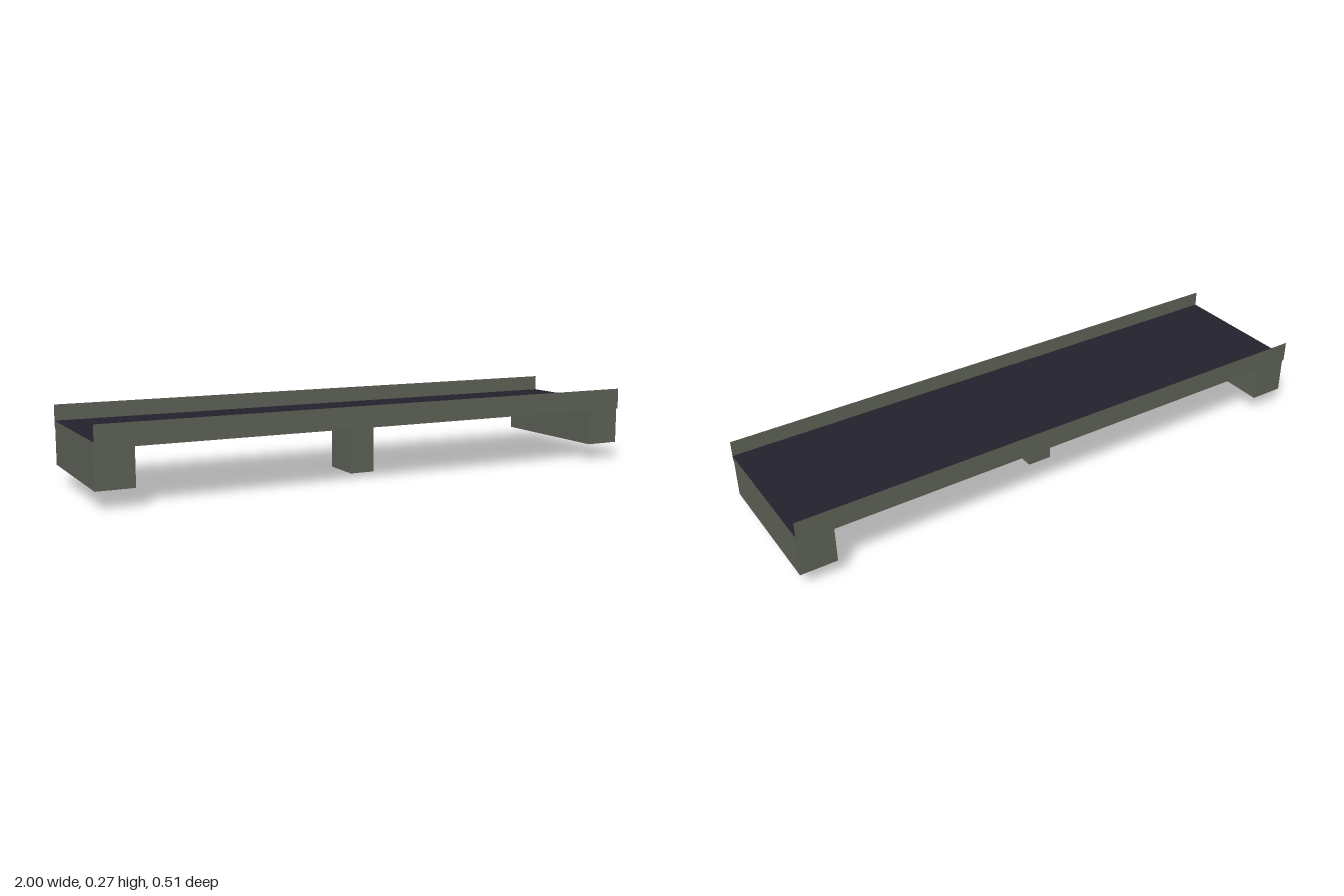
import * as THREE from 'three';

const LENGTH = 2, HALF_WIDTH = 0.257, DECK_Y = 0.21;

export function createModel() {
  const group = new THREE.Group();
  group.name = 'bridge';

  const concrete = new THREE.MeshStandardMaterial({ color: 0x5f6459 });
  concrete.name = 'concrete';
  concrete.side = THREE.DoubleSide;
  const asphalt = new THREE.MeshStandardMaterial({ color: 0x23222d });
  asphalt.name = 'asphalt';

  const add = (name, geometry, material, x, y, z) => {
    const mesh = new THREE.Mesh(geometry, material);
    mesh.name = name;
    mesh.position.set(x, y, z);
    group.add(mesh);
    return mesh;
  };

  // Box support reaching from a given foot height up to the deck
  const support = (name, width, depth, foot, x) => {
    const height = DECK_Y - 0.001 - foot;
    add(name, new THREE.BoxGeometry(width, height, depth), concrete, x, foot + height / 2, 0);
  };

  // Thin deck: road surface above, concrete underside
  const deck = new THREE.PlaneGeometry(LENGTH, HALF_WIDTH * 2);
  add('roadSurface', deck, asphalt, 0, DECK_Y, 0).rotation.x = -Math.PI / 2;
  add('deckUnderside', deck, concrete, 0, DECK_Y - 0.001, 0).rotation.x = Math.PI / 2;

  // Thin parapets along both edges, hanging slightly below the deck
  const parapet = new THREE.PlaneGeometry(LENGTH, 0.075);
  add('frontParapet', parapet, concrete, 0, 0.2275, HALF_WIDTH);
  add('backParapet', parapet, concrete, 0, 0.2275, -HALF_WIDTH).rotation.y = Math.PI;

  // End abutments and central pier
  support('leftAbutment', 0.127, 0.5, 0.06, 0.9365);
  support('rightAbutment', 0.127, 0.5, 0.06, -0.9365);
  support('centralPier', 0.09, 0.15, 0, 0);

  return group;
}
